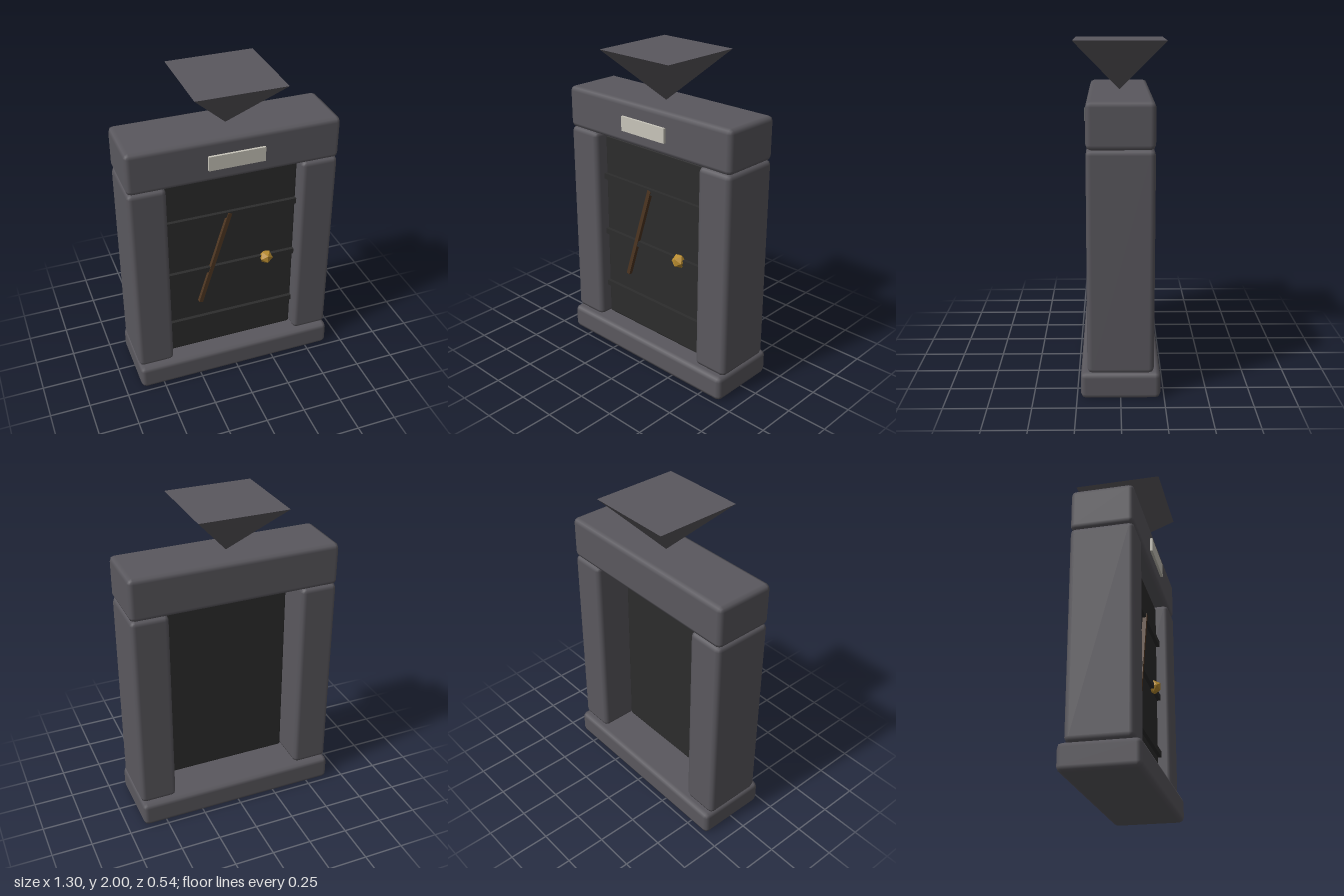
import * as THREE from 'three';
import { RoundedBoxGeometry } from 'three/addons/geometries/RoundedBoxGeometry.js';

export function createModel() {
  const group = new THREE.Group();

  const material = (name, color, flatShading = false) => {
    const m = new THREE.MeshStandardMaterial({ color, flatShading });
    m.name = name;
    return m;
  };
  const stone = material('stone', 0x5a585e);
  const iron = material('dark door', 0x2c2c2c);
  const wood = material('brown wood', 0x4e3622);
  const brass = material('brass', 0xb88c30, true);
  const ivory = material('ivory', 0xc8c5ba);

  const add = (name, geometry, mat, x, y, z) => {
    const mesh = new THREE.Mesh(geometry, mat);
    mesh.name = name;
    mesh.position.set(x, y, z);
    group.add(mesh);
    return mesh;
  };
  const block = (w, h, d, r) => new RoundedBoxGeometry(w, h, d, 1, r);

  // Stone frame with chamfered edges
  add('base', block(1.296, 0.158, 0.456, 0.03), stone, 0, 0.077, 0);
  add('lintel', block(1.296, 0.264, 0.38, 0.03), stone, 0, 1.57, 0);
  for (const side of [-1, 1]) {
    add(side > 0 ? 'leftPillar' : 'rightPillar',
      block(0.23, 1.29, 0.38, 0.03), stone, side * 0.532, 0.797, 0);
  }

  // Inverted square pyramid balanced on the lintel
  const pyramid = new THREE.ConeGeometry(0.27 * Math.SQRT2, 0.3, 4).toNonIndexed();
  pyramid.rotateY(Math.PI / 4).rotateX(Math.PI);
  pyramid.computeVertexNormals();
  add('invertedPyramid', pyramid, stone, 0, 1.85, 0);

  // Recessed door with three cross bars
  add('door', block(0.836, 1.256, 0.076, 0.012), iron, 0, 0.787, 0.07);
  for (const y of [0.385, 0.765, 1.147]) {
    add('doorBar', new THREE.BoxGeometry(0.826, 0.036, 0.03), iron, 0, y, 0.116);
  }

  // Slanted wooden bar, faceted knob and plaque
  const bar = add('slantedBar', new THREE.BoxGeometry(0.025, 0.66, 0.025), wood, -0.115, 0.84, 0.123);
  bar.rotation.z = -0.3;
  add('doorKnob', new THREE.IcosahedronGeometry(0.045, 0), brass, 0.225, 0.767, 0.127);
  add('plaque', new THREE.BoxGeometry(0.344, 0.09, 0.02), ivory, 0, 1.565, 0.195);

  return group;
}
